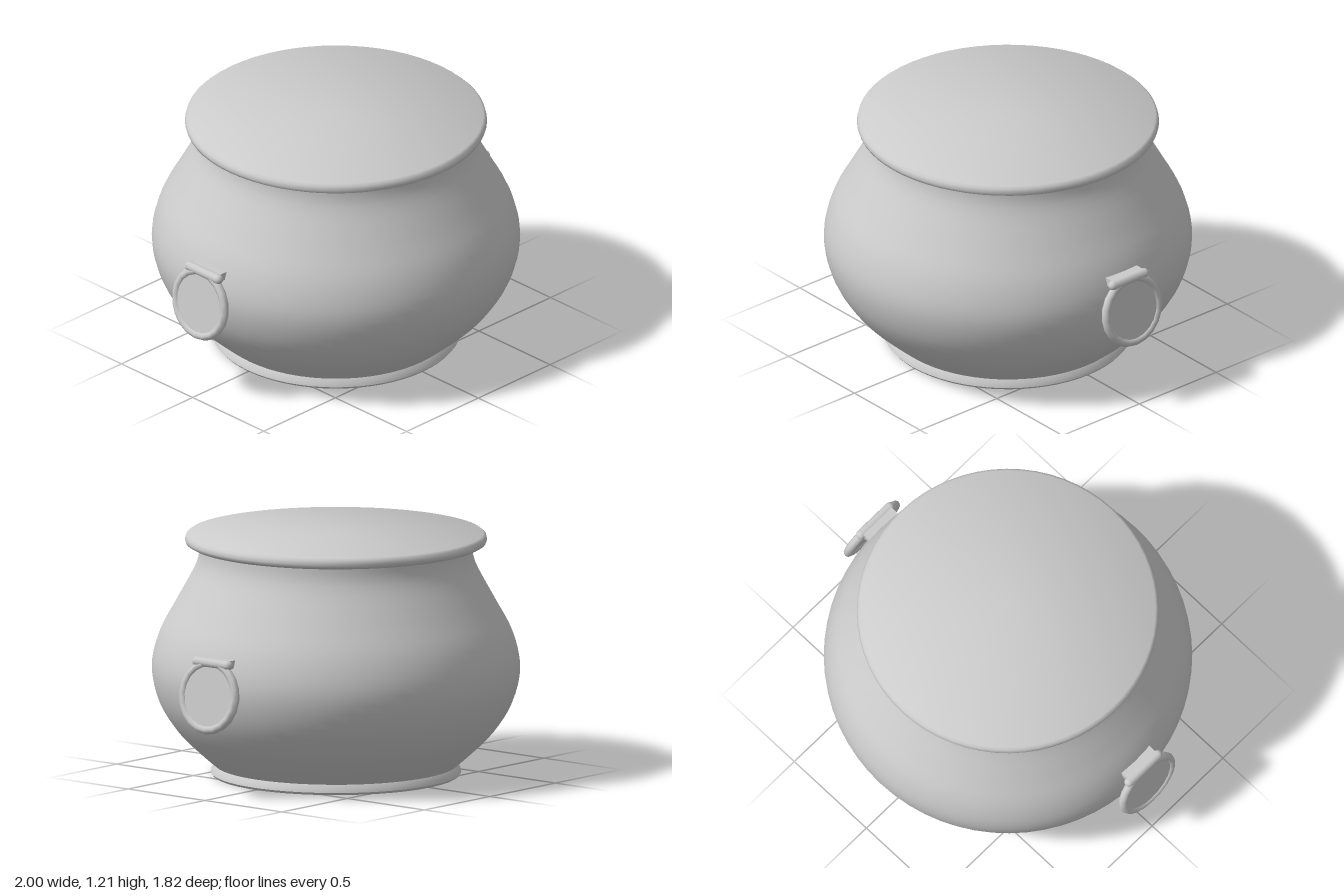
import * as THREE from 'three';
import { toCreasedNormals } from 'three/addons/utils/BufferGeometryUtils.js';

const material = new THREE.MeshStandardMaterial({ color: 0xcccccc });

function addMesh(parent, name, geometry) {
  const mesh = new THREE.Mesh(geometry, material);
  mesh.name = name;
  parent.add(mesh);
  return mesh;
}

// Turned part from [radius, height] pairs listed from bottom to top
function turned(pairs, segments = 64) {
  const points = pairs.map(([r, y]) => new THREE.Vector2(r, y));
  return toCreasedNormals(new THREE.LatheGeometry(points, segments), 0.75);
}

// Swinging ring handle with its filled plate and hinge bar, for side +1 or -1
function createHandle(side) {
  const handle = new THREE.Group();
  handle.name = side > 0 ? 'leftHandle' : 'rightHandle';

  // Ring hangs from the bar, its lower edge leaning away from the pot
  const swing = new THREE.Group();
  swing.name = 'handleSwing';
  swing.position.set(side * 0.955, 0.515, 0.01);
  swing.rotation.z = side * 0.15;
  handle.add(swing);

  const ring = addMesh(swing, 'handleRing', new THREE.TorusGeometry(0.167, 0.022, 8, 20));
  ring.rotation.y = Math.PI / 2;
  const plate = addMesh(swing, 'handlePlate', new THREE.CylinderGeometry(0.165, 0.165, 0.024, 20));
  plate.rotation.z = Math.PI / 2;

  const bar = addMesh(handle, 'hingeBar', new THREE.CapsuleGeometry(0.025, 0.2, 4, 10));
  bar.rotation.x = Math.PI / 2;
  bar.position.set(side * 0.93, 0.678, 0.01);

  // Short lug joining the bar to the pot wall
  const lug = addMesh(handle, 'hingeLug', new THREE.BoxGeometry(0.08, 0.04, 0.2));
  lug.position.set(side * 0.895, 0.678, 0.01);
  return handle;
}

export function createModel() {
  const pot = new THREE.Group();
  pot.name = 'cauldron';

  // Round belly narrowing to a neck
  const profile = new THREE.SplineCurve([
    [0.6, 0.05], [0.68, 0.12], [0.785, 0.225], [0.875, 0.37], [0.912, 0.54],
    [0.875, 0.71], [0.785, 0.88], [0.69, 1.06], [0.675, 1.17],
  ].map(([r, y]) => new THREE.Vector2(r, y)));
  addMesh(pot, 'belly', new THREE.LatheGeometry(profile.getPoints(32), 64));

  // Closed foot plate
  addMesh(pot, 'foot', turned([
    [0, 0], [0.61, 0], [0.62, 0.012], [0.615, 0.03], [0.6, 0.05], [0.57, 0.055],
  ]));

  // Rolled rim with a flat closed top
  addMesh(pot, 'rim', turned([
    [0.66, 1.158], [0.725, 1.155], [0.743, 1.165], [0.748, 1.18],
    [0.743, 1.2], [0.73, 1.211], [0, 1.211],
  ]));

  for (const side of [1, -1]) pot.add(createHandle(side));
  return pot;
}
